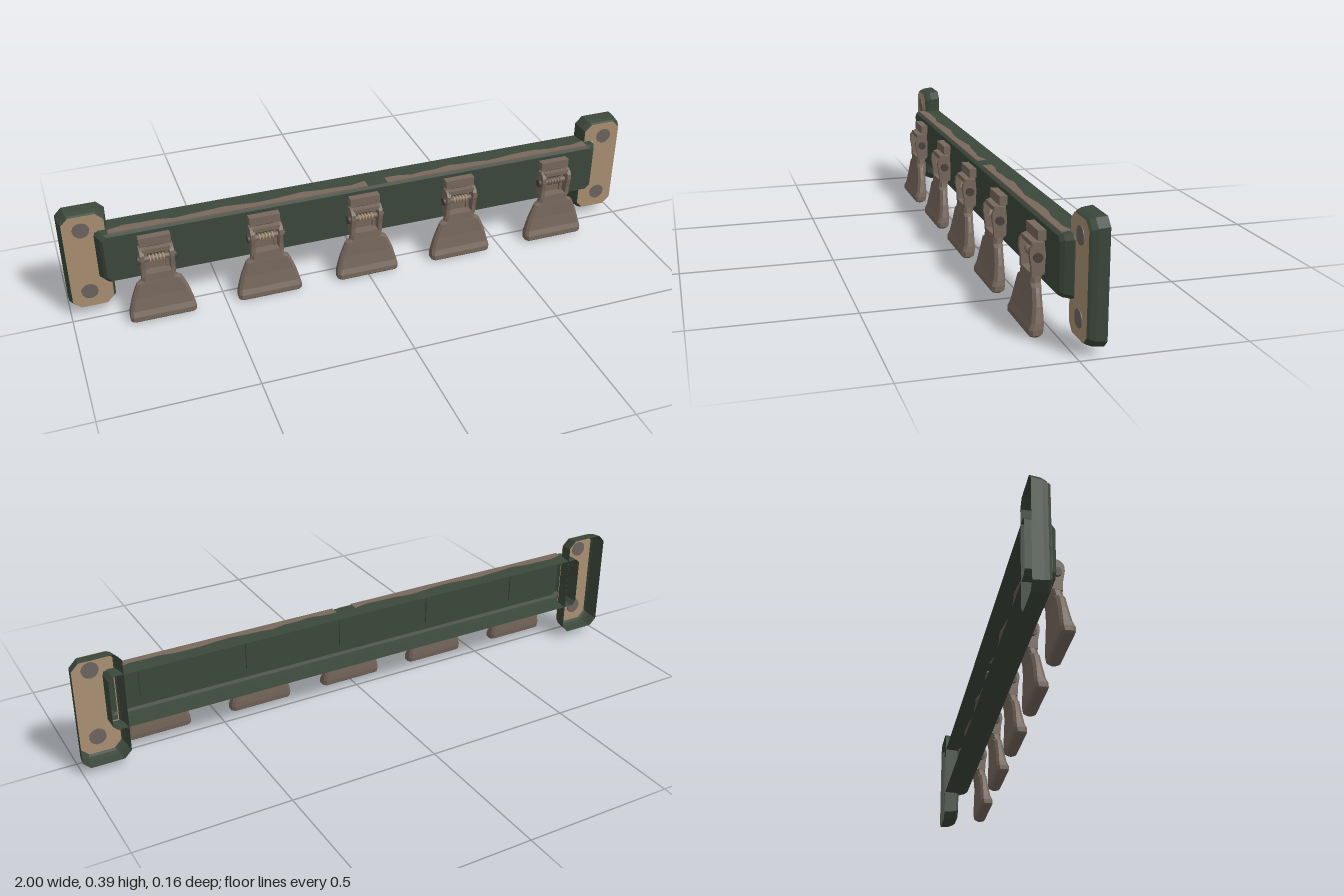
import * as THREE from 'three';

const mat = (name, color, side = THREE.FrontSide) => {
  const m = new THREE.MeshStandardMaterial({ color, side });
  m.name = name;
  return m;
};

export function createModel() {
  const root = new THREE.Group();
  const green = mat('dark green paint', 0x3c483b, THREE.DoubleSide);
  const tan = mat('tan paint', 0xaa9072, THREE.DoubleSide);
  const brown = mat('brown metal', 0x77685d, THREE.DoubleSide);
  const grey = mat('screw metal', 0x6c645f);
  const dark = mat('dark pin', 0x4a433f);

  const add = (parent, name, geo, material, x = 0, y = 0, z = 0) => {
    const m = new THREE.Mesh(geo, material);
    m.name = name;
    m.position.set(x, y, z);
    parent.add(m);
    return m;
  };
  const box = (parent, name, w, h, d, material, x, y, z) =>
    add(parent, name, new THREE.BoxGeometry(w, h, d), material, x, y, z);

  // Chamfered rectangle outline, counter-clockwise
  const outline = (hw, hh, c) => [
    [hw - c, -hh], [hw, -hh + c], [hw, hh - c], [hw - c, hh],
    [-hw + c, hh], [-hw, hh - c], [-hw, -hh + c], [-hw + c, -hh],
  ];
  const toShape = (pts) => new THREE.Shape(pts.map((p) => new THREE.Vector2(p[0], p[1])));

  // Skin through equally sized rings of [x, y, z] points; ends optionally closed
  const loft = (rings, capped) => {
    const pos = [];
    const n = rings[0].length;
    const tri = (...p) => p.forEach((q) => pos.push(...q));
    for (let r = 0; r < rings.length - 1; r++) {
      for (let i = 0; i < n; i++) {
        const j = (i + 1) % n;
        const [a, b, c, d] = [rings[r][i], rings[r][j], rings[r + 1][j], rings[r + 1][i]];
        tri(a, b, c, a, c, d);
      }
    }
    if (capped) {
      const [s, e] = [rings[0], rings[rings.length - 1]];
      for (let i = 1; i < n - 1; i++) tri(s[0], s[i + 1], s[i], e[0], e[i], e[i + 1]);
    }
    const g = new THREE.BufferGeometry();
    g.setAttribute('position', new THREE.Float32BufferAttribute(pos, 3));
    g.computeVertexNormals();
    return g;
  };

  // Hollow rail, open at the back
  const railY = 0.2225;
  const rail = new THREE.Group();
  rail.name = 'rail';
  root.add(rail);
  const railRings = [[-0.077, 0, 0], [-0.02, 0, 0], [0.004, 0.012, 0.003], [0.015, 0.022, 0.009]]
    .map(([z, ix, iy]) => outline(0.893 - ix, 0.0925 - iy, 0.014).map(([x, y]) => [x, y, z]));
  add(rail, 'railWalls', loft(railRings), green, 0, railY);
  add(rail, 'railFront', new THREE.ShapeGeometry(toShape(outline(0.871, 0.0835, 0.014))), green, 0, railY, 0.015);

  // Worn strips along the rail's top edge, with a wavy back edge
  for (const [x0, x1] of [[-0.85, 0.02], [0.09, 0.85]]) {
    const pts = [[x0, -0.006], [x1, -0.006]];
    for (let i = 0; i <= 16; i++) {
      const x = x1 + (x0 - x1) * i / 16;
      pts.push([x, 0.022 + 0.006 * Math.sin(x * 23) + 0.003 * Math.sin(x * 61)]);
    }
    const g = new THREE.ExtrudeGeometry(toShape(pts), { depth: 0.006, bevelEnabled: false });
    g.rotateX(-Math.PI / 2);
    add(rail, 'wornEdge', g, brown, 0, 0.3103, 0);
  }

  // Hollow end plates with two screws each
  for (const side of [-1, 1]) {
    const plate = new THREE.Group();
    plate.name = side > 0 ? 'leftEndPlate' : 'rightEndPlate';
    plate.position.set(side * 0.922, 0.206, 0);
    root.add(plate);
    const rings = [[-0.078, 0], [-0.045, 0.003], [-0.03, 0.008], [-0.022, 0.013]]
      .map(([z, i]) => outline(0.078 - i, 0.183 - i, 0.024).map(([x, y]) => [x, y, z]));
    add(plate, 'plateWalls', loft(rings), green);
    const face = toShape(outline(0.067, 0.172, 0.024));
    const [a, b] = [side * -0.062, side * -0.032];
    face.holes.push(new THREE.Path([[a, -0.072], [b, -0.072], [b, 0.105], [a, 0.105]]
      .map((p) => new THREE.Vector2(...p))));
    add(plate, 'plateFace', new THREE.ShapeGeometry(face), tan, 0, 0, -0.022);
    for (const y of [-0.113, 0.121]) {
      const g = new THREE.CylinderGeometry(0.027, 0.027, 0.006, 20).rotateX(Math.PI / 2);
      add(plate, 'screw', g, grey, side * 0.008, y, -0.022);
    }
  }

  // Clip paddle: rows of [y, half width, back z, front z]
  const paddleRows = [
    [0, 0.104, 0.046, 0.073], [0.006, 0.109, 0.038, 0.079], [0.022, 0.109, 0.035, 0.079],
    [0.04, 0.106, 0.034, 0.071], [0.085, 0.094, 0.034, 0.064], [0.12, 0.08, 0.033, 0.061],
    [0.134, 0.073, 0.031, 0.06], [0.142, 0.057, 0.028, 0.059], [0.168, 0.053, 0.022, 0.057],
  ];
  const paddleGeo = loft(paddleRows.map(([y, w, zb, zf]) => {
    const mid = (zb + zf) / 2;
    return outline(w, (zf - zb) / 2, 0.009).map(([x, d]) => [x, y, mid - d]).reverse();
  }).map((ring) => ring.reverse()), true);

  // Side arm profile as (z, y), extruded across x
  const armShape = toShape([
    [0.02, 0.165], [0.057, 0.16], [0.058, 0.19], [0.064, 0.225], [0.062, 0.243],
    [0.053, 0.255], [0.042, 0.261], [0.02, 0.258], [0.016, 0.22],
  ]);
  const armGeo = new THREE.ExtrudeGeometry(armShape, { depth: 0.014, bevelEnabled: false });
  armGeo.rotateY(-Math.PI / 2).scale(1, 1, 1).translate(0.007, 0, 0);

  const pinGeo = new THREE.CylinderGeometry(0.009, 0.009, 0.112, 14).rotateZ(Math.PI / 2);
  const headGeo = new THREE.CylinderGeometry(0.014, 0.014, 0.01, 16).rotateZ(Math.PI / 2);
  const coilGeo = new THREE.TorusGeometry(0.01, 0.0035, 6, 14).rotateY(Math.PI / 2);

  [-0.712, -0.35, -0.002, 0.345, 0.71].forEach((x, k) => {
    const clip = new THREE.Group();
    clip.name = 'clip' + (k + 1);
    clip.position.x = x;
    root.add(clip);

    // Bracket fixed to the rail
    box(clip, 'bracketTop', 0.104, 0.03, 0.028, brown, 0, 0.279, 0.026);
    box(clip, 'bracketFoot', 0.09, 0.026, 0.012, brown, 0, 0.18, 0.019);
    box(clip, 'backingPlate', 0.125, 0.125, 0.005, green, 0, 0.232, 0.0115);

    // Lever
    add(clip, 'paddle', paddleGeo, brown);
    box(clip, 'leverCrossbar', 0.09, 0.014, 0.02, brown, 0, 0.253, 0.046);
    for (const s of [-1, 1]) {
      add(clip, 'leverArm', armGeo, brown, s * 0.048);
      box(clip, 'bracketLug', 0.01, 0.11, 0.02, brown, s * 0.034, 0.225, 0.024);
      add(clip, 'pinHead', headGeo, dark, s * 0.058, 0.217, 0.04);
    }

    // Pivot pin and spring
    add(clip, 'pivotPin', pinGeo, brown, 0, 0.217, 0.04);
    for (let i = -2; i <= 2; i++) add(clip, 'springCoil', coilGeo, k === 4 ? brown : tan, i * 0.011, 0.217, 0.04);
  });

  return root;
}
